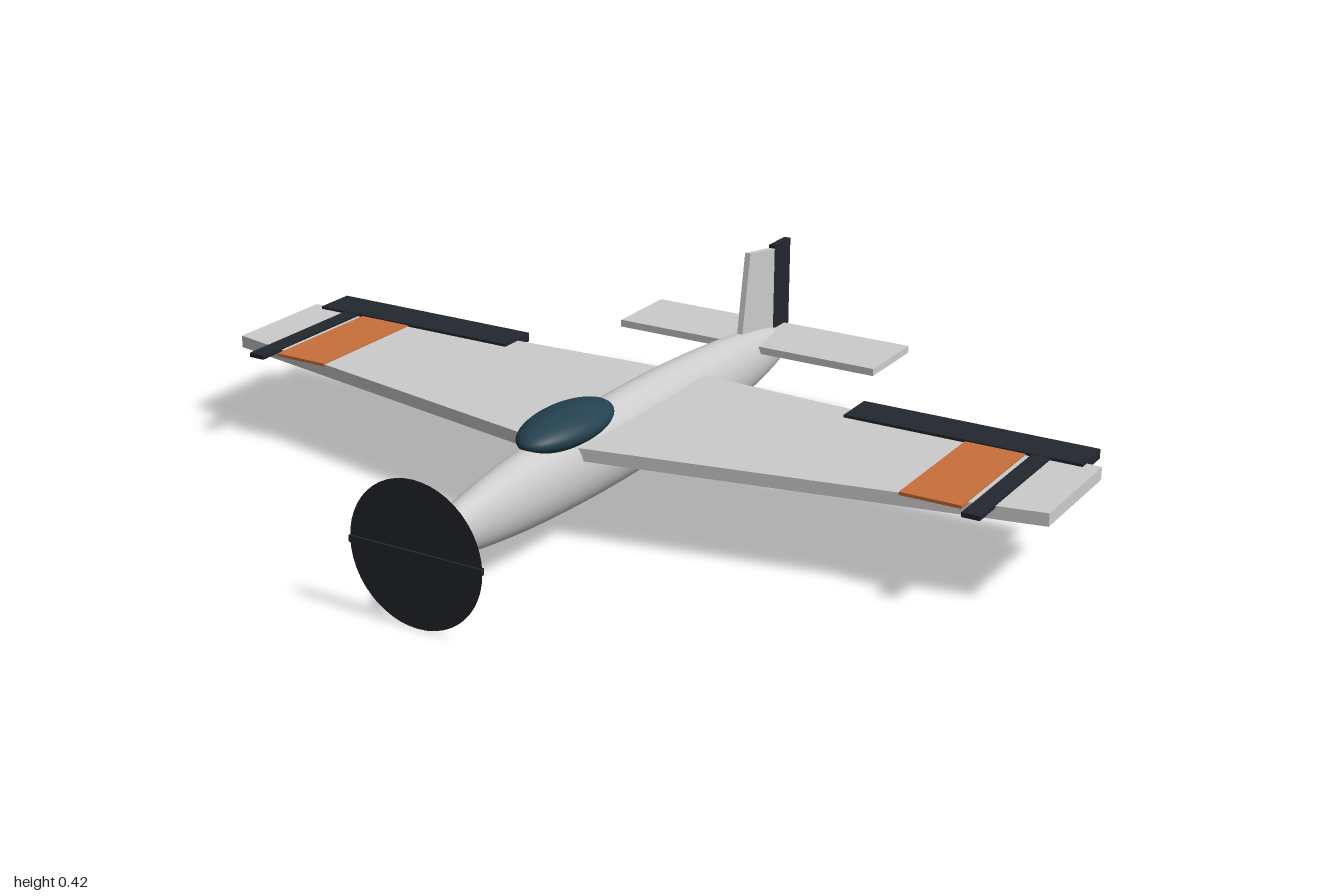
import * as THREE from 'three';

const material = (color) => new THREE.MeshStandardMaterial({ color });
const grey = material(0xcccccc);
const dark = material(0x23272e);
const orange = material(0xc8703a);
const glass = material(0x23424f);

export function createModel() {
  const model = new THREE.Group();
  model.name = 'airplane';

  const add = (name, geometry, mat) => {
    const mesh = new THREE.Mesh(geometry, mat);
    mesh.name = name;
    model.add(mesh);
    return mesh;
  };

  // Box given by its limits on each axis
  const box = (name, [x0, x1], [y0, y1], [z0, z1], mat) =>
    add(name, new THREE.BoxGeometry(x1 - x0, y1 - y0, z1 - z0), mat)
      .position.set((x0 + x1) / 2, (y0 + y1) / 2, (z0 + z1) / 2);

  // Ellipsoid with its poles along z
  const ellipsoid = (name, radii, position, mat) => {
    const geometry = new THREE.SphereGeometry(1, 40, 32).rotateX(Math.PI / 2);
    geometry.scale(...radii);
    add(name, geometry, mat).position.set(...position);
  };

  const slab = (points, depth) => new THREE.ExtrudeGeometry(
    new THREE.Shape(points.map(([a, b]) => new THREE.Vector2(a, b))),
    { depth, bevelEnabled: false });

  // Body and canopy
  ellipsoid('fuselage', [0.07, 0.098, 0.747], [0, 0.157, -0.009], grey);
  ellipsoid('canopy', [0.071, 0.038, 0.152], [0, 0.247, 0.23], glass);

  // Tapered wing, outlined in x and -z
  const wing = slab([[0, -0.27], [1, -0.073], [1, 0.204], [0, 0.258],
    [-1, 0.204], [-1, -0.073]], 0.028).rotateX(-Math.PI / 2);
  add('wing', wing, grey).position.y = 0.188;

  // Ailerons and painted bands on both wings
  for (const [side, s] of [['left', 1], ['right', -1]]) {
    const span = (a, b) => (s > 0 ? [a, b] : [-b, -a]);
    box(side + 'Aileron', span(0.433, 0.967), [0.201, 0.222], [-0.281, -0.183], dark);
    box(side + 'WideBand', span(0.711, 0.844), [0.212, 0.219], [-0.187, 0.133], orange);
    box(side + 'NarrowBand', span(0.858, 0.897), [0.211, 0.221], [-0.187, 0.167], dark);
  }

  // Tail
  box('tailplane', [-0.334, 0.334], [0.183, 0.2], [-0.717, -0.53], grey);
  const fin = slab([[-0.503, 0.18], [-0.67, 0.18], [-0.67, 0.396], [-0.543, 0.416]], 0.014)
    .rotateY(-Math.PI / 2);
  add('fin', fin, grey).position.x = 0.007;
  box('rudder', [-0.008, 0.008], [0.181, 0.405], [-0.738, -0.662], dark);

  // Propeller: a thin disc with one bar across it
  const discMaterial = dark.clone();
  discMaterial.side = THREE.DoubleSide;
  add('propellerDisc', new THREE.CircleGeometry(0.155, 48), discMaterial)
    .position.set(0, 0.155, 0.757);
  box('propellerBlade', [-0.155, 0.155], [0.149, 0.163], [0.752, 0.762], dark);

  return model;
}
